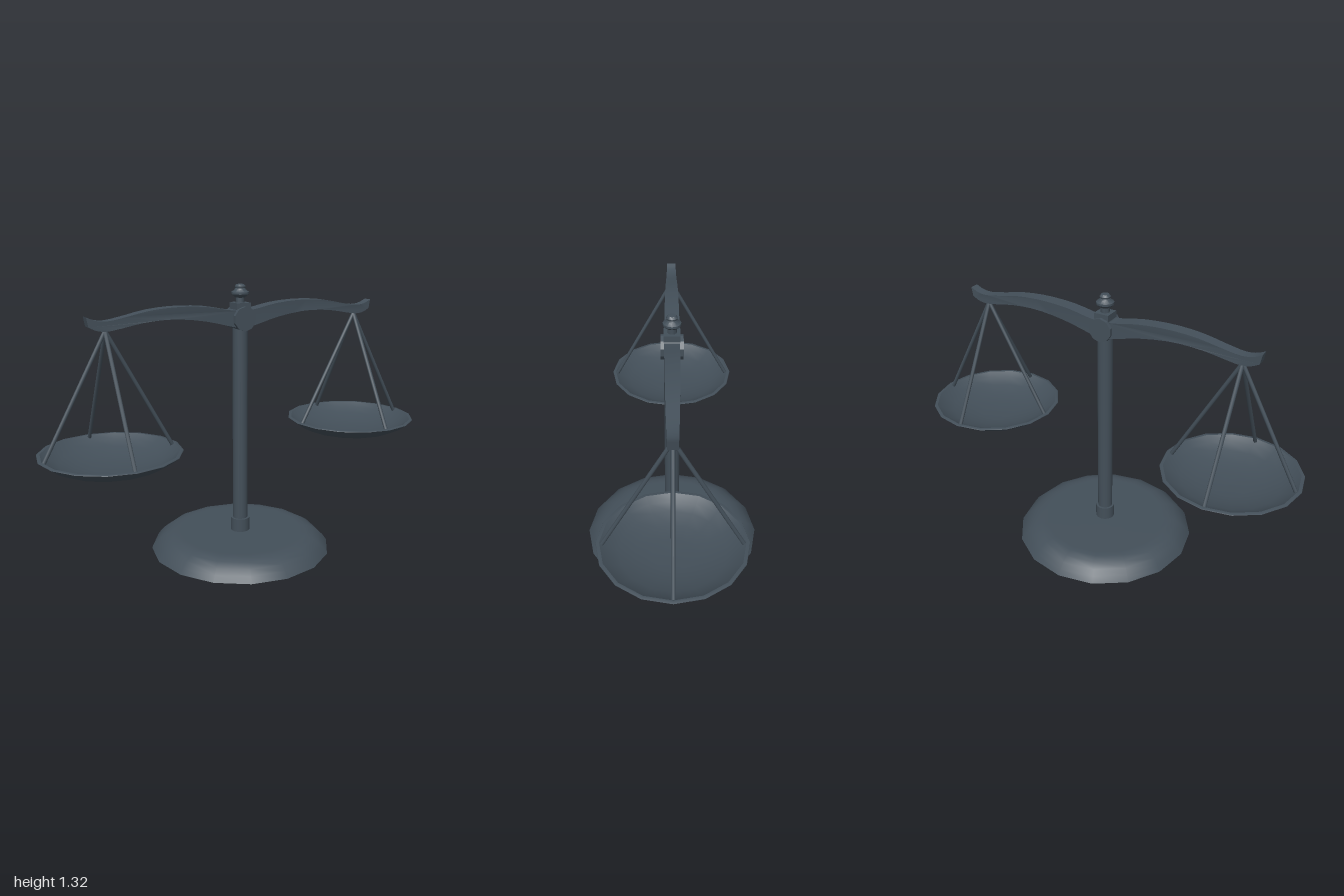
import * as THREE from 'three';
import { toCreasedNormals } from 'three/addons/utils/BufferGeometryUtils.js';

const SIDES = 16;
const PAN_X = 0.67;

export function createModel() {
  const model = new THREE.Group();
  model.name = 'balanceScale';
  const iron = new THREE.MeshStandardMaterial({ color: 0x434f59 });
  iron.name = 'dark iron';

  const add = (name, geometry, parent = model) => {
    const mesh = new THREE.Mesh(geometry, iron);
    mesh.name = name;
    parent.add(mesh);
    return mesh;
  };
  const lathe = (points, sides = SIDES) =>
    new THREE.LatheGeometry(points.map(([r, y]) => new THREE.Vector2(r, y)), sides);
  const cylinder = (radius, y0, y1, sides = SIDES) =>
    new THREE.CylinderGeometry(radius, radius, y1 - y0, sides).translate(0, (y0 + y1) / 2, 0);
  // Straight rod between two points
  const rod = (a, b, radius) => {
    const dir = b.clone().sub(a);
    const g = new THREE.CylinderGeometry(radius, radius, dir.length(), 8);
    g.applyQuaternion(new THREE.Quaternion().setFromUnitVectors(
      new THREE.Vector3(0, 1, 0), dir.normalize()));
    const mid = a.clone().add(b).multiplyScalar(0.5);
    return g.translate(mid.x, mid.y, mid.z);
  };

  // Rounded foot with a flat underside
  add('base', lathe([[0.45, 0], [0.43, 0.028], [0.405, 0.052], [0.375, 0.071],
    [0.34, 0.082], [0.31, 0.083], [0, 0.083]]));
  add('baseUnderside', new THREE.CircleGeometry(0.45, SIDES).rotateX(Math.PI / 2));

  // Post
  add('collar', cylinder(0.048, 0.08, 0.15));
  add('column', cylinder(0.037, 0.08, 1.15));

  // Pivot drum through the beam, and the finial above it
  add('pivot', toCreasedNormals(new THREE.CylinderGeometry(0.058, 0.058, 0.104, 10)
    .rotateX(Math.PI / 2).translate(0, 1.158, 0), 0.5));
  add('finialBlock', new THREE.BoxGeometry(0.074, 0.08, 0.074).translate(0, 1.192, 0));
  add('finial', toCreasedNormals(lathe([[0.021, 1.22], [0.021, 1.255], [0.03, 1.26],
    [0.042, 1.271], [0.042, 1.281], [0.027, 1.292], [0.024, 1.299], [0.026, 1.307],
    [0.018, 1.317], [0, 1.318]], 12), 0.6));

  // Curved beam arms, tapering in depth towards the upturned tips
  const top = [[0, 1.195], [0.06, 1.2], [0.18, 1.222], [0.33, 1.231], [0.47, 1.222],
    [0.59, 1.199], [0.67, 1.187], [0.72, 1.193], [0.758, 1.21]];
  const bottom = [[0.75, 1.166], [0.715, 1.149], [0.67, 1.143], [0.61, 1.151],
    [0.5, 1.17], [0.36, 1.177], [0.2, 1.158], [0.06, 1.124], [0, 1.112]];
  const smooth = (pts, n) =>
    new THREE.CatmullRomCurve3(pts.map(([x, y]) => new THREE.Vector3(x, y, 0)))
      .getPoints(n).map((p) => new THREE.Vector2(p.x, p.y));
  const armGeometry = (side) => {
    const outline = [...smooth(top, 20), ...smooth(bottom, 20)];
    outline.forEach((p) => { p.x *= side; });
    const g = new THREE.ExtrudeGeometry(new THREE.Shape(outline),
      { depth: 1, bevelEnabled: false }).translate(0, 0, -0.5);
    const pos = g.attributes.position;
    for (let i = 0; i < pos.count; i++) {
      const t = Math.abs(pos.getX(i)) / 0.76;
      pos.setZ(i, pos.getZ(i) * (0.07 - 0.026 * t * t));
    }
    return toCreasedNormals(g, 0.6);
  };

  // Each side: arm, four hanging rods and a shallow dish
  for (const side of [1, -1]) {
    const label = side > 0 ? 'left' : 'right';
    add(label + 'BeamArm', armGeometry(side));

    const pan = new THREE.Group();
    pan.name = label + 'Pan';
    pan.position.x = side * PAN_X;
    model.add(pan);
    add('dishOuter', lathe([[0, 0.503], [0.09, 0.505], [0.17, 0.516], [0.24, 0.537],
      [0.29, 0.562], [0.33, 0.592]]), pan);
    add('dishRim', lathe([[0.33, 0.592], [0.328, 0.596], [0.314, 0.596]]), pan);
    add('dishInner', lathe([[0.314, 0.596], [0.28, 0.572], [0.235, 0.551],
      [0.165, 0.53], [0.09, 0.519], [0, 0.517]]), pan);

    const hook = new THREE.Vector3(0, 1.143, 0);
    for (let i = 0; i < 4; i++) {
      const a = i * Math.PI / 2;
      const foot = new THREE.Vector3(Math.cos(a) * 0.306, 0.583, Math.sin(a) * 0.306);
      add('hangingRod', rod(hook, foot, 0.0095), pan);
    }
  }
  return model;
}
